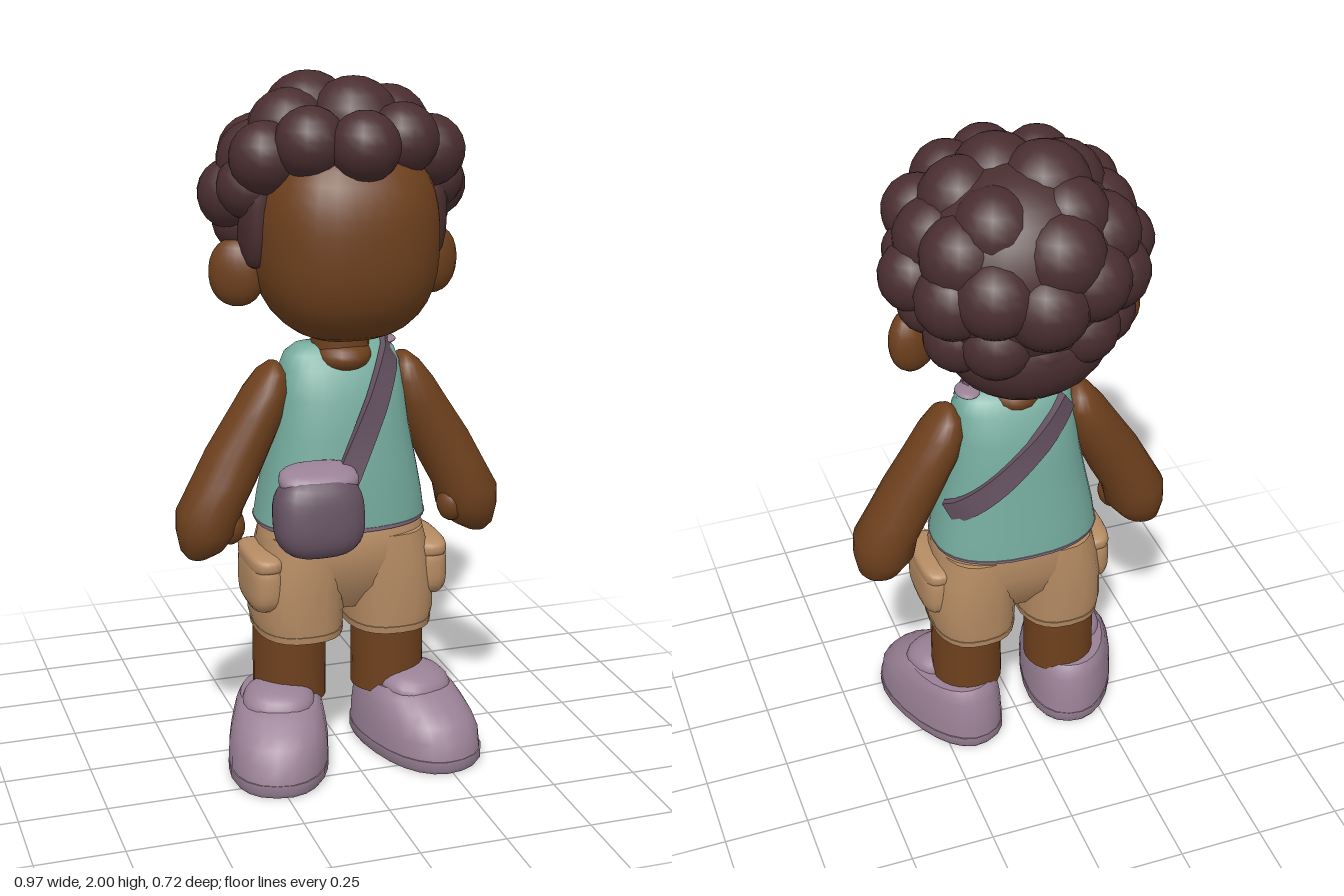
import * as THREE from 'three';
import { mergeVertices, toCreasedNormals } from 'three/addons/utils/BufferGeometryUtils.js';

const mat = (name, color) => Object.assign(new THREE.MeshStandardMaterial({ color }), { name });

// Skin through rings of points, capped at both ends
function loft(rings, crease = 0.9) {
  const n = rings[0].length, pos = [], idx = [];
  rings.forEach(r => r.forEach(p => pos.push(...p)));
  for (let i = 0; i < rings.length - 1; i++) {
    for (let j = 0; j < n; j++) {
      const a = i * n + j, b = i * n + (j + 1) % n;
      idx.push(a, b, b + n, a, b + n, a + n);
    }
  }
  [0, rings.length - 1].forEach((k, end) => {
    const c = pos.length / 3;
    pos.push(...[0, 1, 2].map(q => rings[k].reduce((s, p) => s + p[q], 0) / n));
    for (let j = 0; j < n; j++) {
      const a = k * n + j, b = k * n + (j + 1) % n;
      idx.push(c, end ? a : b, end ? b : a);
    }
  });
  const g = new THREE.BufferGeometry();
  g.setAttribute('position', new THREE.Float32BufferAttribute(pos, 3));
  g.setIndex(idx);
  return toCreasedNormals(g, crease);
}

// Horizontal superellipse ring from [y, centreX, radiusX, centreZ, radiusZ]
function ring([y, cx, rx, cz, rz], n = 2.2, segs = 24, egg = 0) {
  const pts = [], f = v => Math.sign(v) * Math.abs(v) ** (2 / n);
  for (let i = 0; i < segs; i++) {
    const a = i / segs * Math.PI * 2, z = -f(Math.sin(a));
    pts.push([cx + rx * f(Math.cos(a)) * (1 + egg * z), y, cz + rz * z]);
  }
  return pts;
}
const stack = (rows, n, segs, egg) => loft(rows.map(r => ring(r, n, segs, egg)));

// Ellipsoid squared off by exponent n
function blob(rx, ry, rz, n = 2, segs = 16) {
  let g = new THREE.SphereGeometry(1, segs, Math.round(segs * 0.7));
  const p = g.attributes.position;
  for (let i = 0; i < p.count; i++) {
    const v = [p.getX(i), p.getY(i), p.getZ(i)];
    const k = v.reduce((s, c) => s + Math.abs(c) ** n, 0) ** (-1 / n);
    p.setXYZ(i, v[0] * k * rx, v[1] * k * ry, v[2] * k * rz);
  }
  g.deleteAttribute('uv');
  g.deleteAttribute('normal');
  g = mergeVertices(g, 1e-5);
  g.computeVertexNormals();
  return g;
}

const TORSO = [
  [0.73, 0, 0.25, 0.032, 0.18], [0.80, 0, 0.24, 0.034, 0.173], [0.90, 0, 0.22, 0.038, 0.16],
  [1.00, 0, 0.20, 0.036, 0.146], [1.10, 0, 0.187, 0.036, 0.13], [1.18, 0, 0.175, 0.035, 0.10],
  [1.22, 0, 0.16, 0.035, 0.075], [1.245, 0, 0.13, 0.035, 0.04],
];

// Depth of the shirt surface at x, y (side 1 = front, -1 = back)
function shirtZ(x, y, side) {
  let i = 0;
  while (i < TORSO.length - 2 && TORSO[i + 1][0] < y) i++;
  const t = Math.min(1, (y - TORSO[i][0]) / (TORSO[i + 1][0] - TORSO[i][0]));
  const [, , rx, cz, rz] = TORSO[i].map((v, q) => v + (TORSO[i + 1][q] - v) * t);
  return cz + side * rz * Math.max(0, 1 - Math.abs(x / rx) ** 2.4) ** (1 / 2.4);
}

// Flat strap laid on the shirt from one x, y to another; lift raises its lower end
function strap(x0, y0, x1, y1, side, lift = 0) {
  const steps = 14, half = 0.034, pts = [], rings = [];
  for (let i = 0; i <= steps; i++) {
    const t = i / steps, x = x0 + (x1 - x0) * t, y = y0 + (y1 - y0) * t;
    pts.push(new THREE.Vector3(x, y, shirtZ(x, y, side) + lift * (1 - t)));
  }
  pts.forEach((p, i) => {
    const t = pts[Math.min(i + 1, steps)].clone().sub(pts[Math.max(i - 1, 0)]);
    const out = new THREE.Vector3(p.x * 2, 0, side * 0.6).normalize();
    const w = out.clone().cross(t).normalize().multiplyScalar(half);
    rings.push([[-1, -0.012], [1, -0.012], [1, 0.011], [-1, 0.011]].map(([u, v]) =>
      p.clone().addScaledVector(w, u).addScaledVector(out, v).toArray()));
  });
  return loft(rings, 0.6);
}

export function createModel() {
  const model = new THREE.Group();
  const skin = mat('brown skin', 0x6e401d), hair = mat('dark hair', 0x4a2e30);
  const teal = mat('teal cloth', 0x74aa9c), tan = mat('tan cloth', 0xb58b63);
  const mauve = mat('dark mauve', 0x655160), lilac = mat('lilac', 0x9a8196);
  const add = (name, geo, m, x = 0, y = 0, z = 0, parent = model) => {
    const o = new THREE.Mesh(geo, m);
    o.name = name;
    o.position.set(x, y, z);
    parent.add(o);
    return o;
  };

  // Head and neck
  add('head', blob(0.255, 0.29, 0.26, 2.5, 32), skin, 0, 1.555, 0.082);
  add('neck', new THREE.CylinderGeometry(0.08, 0.085, 0.18, 20), skin, 0, 1.26, 0.045);
  add('neckBase', blob(0.09, 0.055, 0.108, 2, 20), skin, 0, 1.21, 0.045);

  // Curly hair: a full core with shallow round tufts
  const curls = new THREE.Group();
  curls.name = 'hair';
  model.add(curls);
  add('hairCore', blob(0.31, 0.30, 0.265, 2, 28), hair, 0, 1.655, -0.04, curls);
  add('hairNape', blob(0.23, 0.165, 0.185, 2, 20), hair, 0, 1.465, -0.1, curls);
  const middle = [
    [0, 1.825, 0.262, 0.097], [0.03, 1.86, 0.07, 0.13], [-0.07, 1.868, -0.03, 0.13],
    [-0.05, 1.76, -0.2, 0.125], [0, 1.64, -0.24, 0.12], [0, 1.48, -0.185, 0.10],
  ];
  const sides = [
    [0.13, 1.83, 0.19, 0.10], [0.235, 1.785, 0.115, 0.10], [0.14, 1.84, 0.03, 0.12],
    [0.225, 1.76, 0, 0.115], [0.29, 1.67, -0.02, 0.10], [0.265, 1.7, 0.055, 0.09],
    [0.19, 1.76, -0.12, 0.115], [0.1, 1.825, -0.12, 0.115], [0.13, 1.68, -0.21, 0.115],
    [0.22, 1.65, -0.14, 0.11], [0.12, 1.53, -0.19, 0.105], [0.2, 1.52, -0.115, 0.10],
    [0.26, 1.59, -0.035, 0.085],
  ];
  middle.forEach(([x, y, z, r]) => add('curl', blob(r, r, r), hair, x, y, z, curls));

  for (const s of [1, -1]) {
    const side = s > 0 ? 'left' : 'right';
    sides.forEach(([x, y, z, r]) => add('curl', blob(r, r, r), hair, s * x, y, z, curls));
    add(side + 'Sideburn', blob(0.045, 0.16, 0.085, 3), hair, s * 0.25, 1.635, 0.06, curls);

    // Ear
    const ear = add(side + 'Ear', blob(0.08, 0.096, 0.054, 2.2, 18), skin, s * 0.29, 1.455, 0.012);
    ear.rotation.y = s * 0.55;

    // Arm with mitten hand
    const arm = [
      [0.64, 0.425, 0.03, 0.04, 0.035], [0.665, 0.412, 0.062, 0.04, 0.07], [0.72, 0.395, 0.09, 0.04, 0.095],
      [0.78, 0.388, 0.095, 0.04, 0.10], [0.86, 0.345, 0.095, 0.037, 0.093], [0.95, 0.30, 0.092, 0.033, 0.09],
      [1.05, 0.245, 0.082, 0.03, 0.088], [1.12, 0.215, 0.067, 0.03, 0.083], [1.17, 0.2, 0.042, 0.03, 0.062],
      [1.195, 0.195, 0.015, 0.03, 0.025],
    ];
    add(side + 'Arm', stack(arm.map(r => [r[0], s * r[1], ...r.slice(2)]), 2, 20), skin);
    add(side + 'Thumb', blob(0.042, 0.055, 0.045), skin, s * 0.335, 0.735, 0.07);

    // Leg, ending inside the shoe
    add(side + 'Leg', new THREE.CylinderGeometry(0.107, 0.108, 0.28, 24), skin, s * 0.152, 0.32, 0.03);

    // Shorts leg, cuff and cargo pocket
    add(side + 'ShortsLeg', stack([
      [0.41, s * 0.135, 0.125, 0.045, 0.16], [0.45, s * 0.138, 0.132, 0.045, 0.163],
      [0.54, s * 0.135, 0.132, 0.045, 0.166], [0.62, s * 0.125, 0.13, 0.045, 0.167],
      [0.70, s * 0.115, 0.12, 0.045, 0.16],
    ], 2.5), tan);
    add(side + 'Cuff', stack([
      [0.40, s * 0.135, 0.126, 0.045, 0.162], [0.42, s * 0.135, 0.129, 0.045, 0.164],
    ], 2.5), tan);
    add(side + 'Pocket', blob(0.053, 0.09, 0.118, 3.4, 24), tan, s * 0.245, 0.57, 0.065);
    add(side + 'PocketFlap', blob(0.05, 0.03, 0.12, 3.4, 24), tan, s * 0.246, 0.632, 0.065);

    // Shoe, turned out, with a collar rising to the front
    const shoe = new THREE.Group();
    shoe.name = side + 'Shoe';
    shoe.position.set(s * 0.184, 0, 0.03);
    shoe.rotation.y = s * 0.3;
    model.add(shoe);
    add('sole', stack([
      [0, 0, 0.137, 0.083, 0.24], [0.012, 0, 0.145, 0.083, 0.248], [0.04, 0, 0.146, 0.083, 0.248],
    ], 2.3, 24, 0.08), lilac, 0, 0, 0, shoe);
    add('upper', stack([
      [0.035, 0, 0.145, 0.083, 0.247], [0.09, 0, 0.144, 0.08, 0.24], [0.13, 0, 0.138, 0.068, 0.222],
      [0.16, 0, 0.131, 0.052, 0.198], [0.185, 0, 0.124, 0.035, 0.173], [0.205, 0, 0.112, 0.025, 0.148],
    ], 2.2, 24, 0.08), lilac, 0, 0, 0, shoe);
    const tongue = add('tongue', blob(0.105, 0.055, 0.1, 2.4, 20), lilac, 0, 0.195, 0.085, shoe);
    tongue.rotation.x = 0.15;
  }

  // Sleeveless shirt with hem
  add('shirt', stack(TORSO, 2.4, 32), teal);
  add('shirtHem', stack([[0.722, 0, 0.247, 0.032, 0.177], [0.735, 0, 0.252, 0.032, 0.182]], 2.4, 32), lilac);

  // Shorts hips
  add('shortsHips', stack([
    [0.47, 0, 0.15, 0.045, 0.09], [0.55, 0, 0.225, 0.045, 0.145], [0.63, 0, 0.25, 0.045, 0.167],
    [0.70, 0, 0.24, 0.045, 0.166], [0.76, 0, 0.22, 0.035, 0.15],
  ], 2.5, 32), tan);

  // Shoulder bag and straps
  add('frontStrap', strap(-0.04, 0.89, 0.143, 1.238, 1, 0.035), mauve);
  add('backStrap', strap(0.215, 0.87, -0.145, 1.18, -1), mauve);
  add('shoulderStrap', blob(0.036, 0.012, 0.045), lilac, 0.135, 1.238, 0.025);
  const bag = add('bag', blob(0.128, 0.118, 0.08, 2.9, 28), mauve, -0.132, 0.808, 0.262);
  bag.rotation.x = -0.15;
  const flap = add('bagFlap', blob(0.112, 0.037, 0.068, 2.8, 24), lilac, -0.125, 0.906, 0.24);
  flap.rotation.x = 0.25;

  return model;
}
